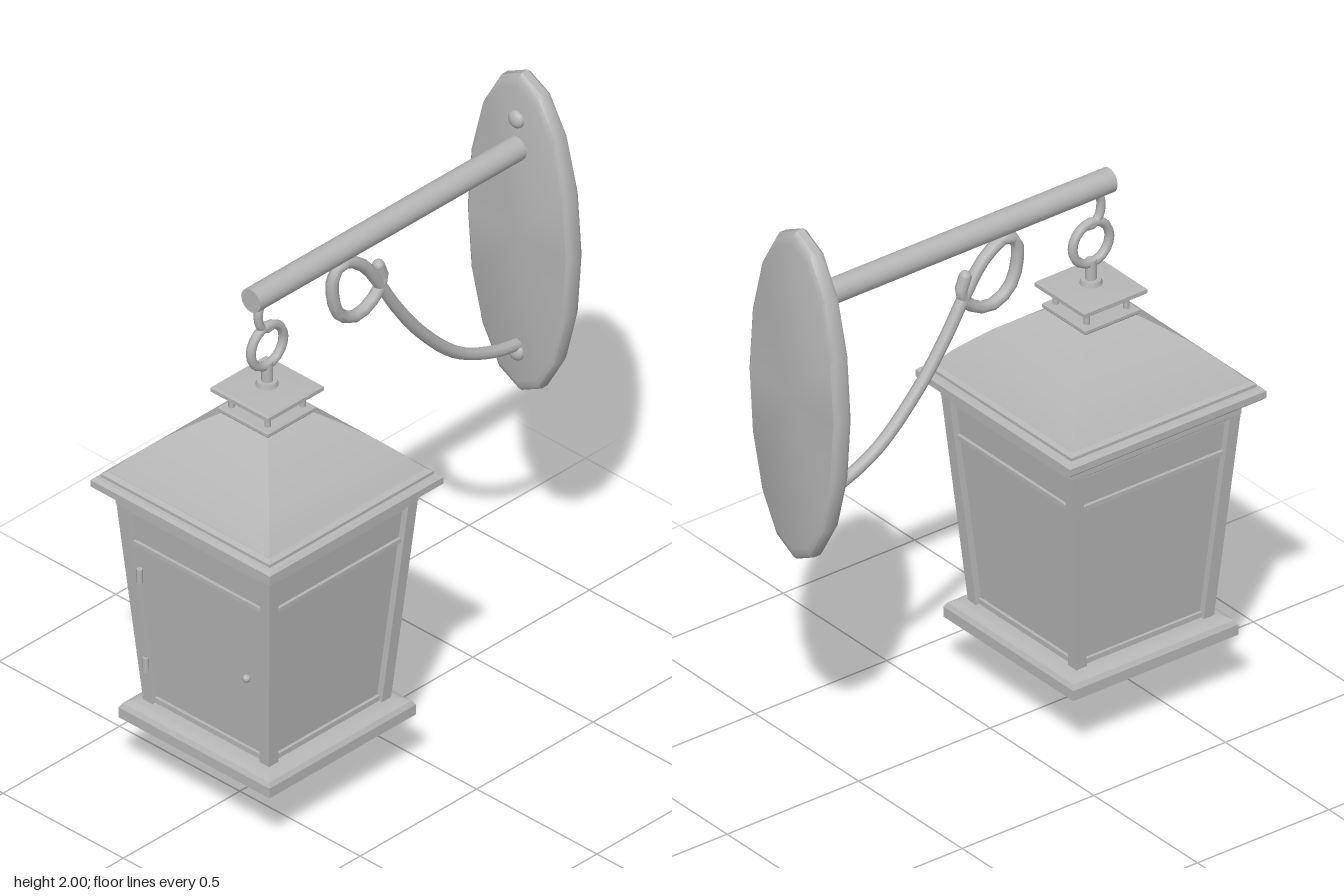
import * as THREE from 'three';
import { toCreasedNormals } from 'three/addons/utils/BufferGeometryUtils.js';

const CX = -0.383; // lantern axis

export function createModel() {
  const model = new THREE.Group();
  model.name = 'wallLantern';
  const metal = new THREE.MeshStandardMaterial({ color: 0xb6b6b6 });
  metal.name = 'grey metal';

  const add = (name, geometry, x = 0, y = 0, z = 0, parent = model) => {
    const mesh = new THREE.Mesh(geometry, metal);
    mesh.name = name;
    mesh.position.set(x, y, z);
    parent.add(mesh);
    return mesh;
  };

  // Square cross-sections [half width, height], listed from bottom to top
  const squareLoft = (rings) => {
    const pts = rings.map(([h, y]) => new THREE.Vector2(h * Math.SQRT2, y));
    pts.unshift(new THREE.Vector2(0, rings[0][1]));
    pts.push(new THREE.Vector2(0, rings[rings.length - 1][1]));
    return toCreasedNormals(new THREE.LatheGeometry(pts, 4).rotateY(Math.PI / 4), 0.45);
  };

  const tube = (points, radius, segments) => new THREE.TubeGeometry(
    new THREE.CatmullRomCurve3(points.map(([x, y]) => new THREE.Vector3(x, y, 0))),
    segments, radius, 8);

  const lantern = new THREE.Group();
  lantern.name = 'lantern';
  lantern.position.x = CX;
  model.add(lantern);
  const part = (name, geometry, x, y, z) => add(name, geometry, x, y, z, lantern);

  // Tapered body: half width of the outer frame at a given height
  const outer = (y) => 0.262 + (y - 0.28) * 0.08;

  part('base', squareLoft([
    [0.08, 0.112], [0.115, 0.12], [0.2, 0.158], [0.3, 0.207], [0.314, 0.215],
    [0.314, 0.25], [0.305, 0.265], [0.285, 0.275], [0.25, 0.28]]));
  part('panes', squareLoft([[outer(0.27) - 0.022, 0.27], [outer(0.99) - 0.022, 0.99]]));
  for (const [name, y, h] of [['sill', 0.287, 0.02], ['crossbar', 0.855, 0.014], ['topRail', 0.975, 0.016]]) {
    part(name, squareLoft([
      [outer(y) - 0.011, y - h / 2], [outer(y) - 0.011, y + h / 2]]));
  }

  // Leaning corner posts
  for (const sx of [-1, 1]) for (const sz of [-1, 1]) {
    const post = new THREE.BoxGeometry(0.04, 0.72, 0.04);
    const p = post.attributes.position;
    for (let i = 0; i < p.count; i++) {
      const y = p.getY(i) + 0.63;
      const c = outer(y) - 0.02;
      p.setXYZ(i, p.getX(i) + sx * c, y, p.getZ(i) + sz * c);
    }
    post.computeVertexNormals();
    part('cornerPost', post);
  }

  part('collar', squareLoft([
    [0.312, 0.978], [0.32, 0.985], [0.32, 1.012], [0.312, 1.02], [0.3, 1.022], [0.3, 1.045]]));
  part('eaves', squareLoft([
    [0.362, 1.035], [0.373, 1.045], [0.373, 1.068], [0.362, 1.078], [0.352, 1.08],
    [0.352, 1.09], [0.337, 1.098]]));
  part('roof', squareLoft([
    [0.337, 1.09], [0.298, 1.14], [0.252, 1.185], [0.205, 1.228],
    [0.152, 1.268], [0.12, 1.29], [0.095, 1.306], [0.06, 1.315]]));

  // Vent on top of the roof
  part('ventFloor', squareLoft([[0.1, 1.308], [0.104, 1.313], [0.104, 1.323], [0.1, 1.328]]));
  for (const sx of [-1, 1]) for (const sz of [-1, 1]) {
    part('ventPost', new THREE.CylinderGeometry(0.01, 0.01, 0.06, 8), sx * 0.075, 1.355, sz * 0.075);
  }
  part('ventCap', squareLoft([
    [0.114, 1.378], [0.12, 1.383], [0.12, 1.396], [0.114, 1.402], [0.07, 1.407]]));
  part('stemFoot', new THREE.CylinderGeometry(0.032, 0.036, 0.018, 12), 0, 1.414, 0);
  part('stem', new THREE.CylinderGeometry(0.018, 0.018, 0.08, 12), 0, 1.45, 0);
  part('ring', new THREE.TorusGeometry(0.07, 0.015, 8, 20), 0, 1.547, 0);
  part('finial', new THREE.SphereGeometry(0.044, 10, 7), 0, 0.044, 0);

  // Door hardware on the right side
  part('doorKnob', new THREE.SphereGeometry(0.013, 8, 6), -outer(0.585) - 0.009, 0.585, 0.2);
  for (const y of [0.42, 0.75]) {
    part('hinge', new THREE.CylinderGeometry(0.01, 0.01, 0.05, 8), -outer(y), y, -0.24);
  }

  // Wall plate: a faceted oval with bevelled rims
  const plate = new THREE.LatheGeometry([
    [0, 0], [0.93, 0], [0.98, 0.008], [1, 0.02], [1, 0.045], [0.98, 0.057], [0.93, 0.065], [0, 0.065],
  ].map(([r, y]) => new THREE.Vector2(r, y)), 16);
  plate.rotateZ(Math.PI / 2).scale(1, 0.57, 0.217);
  add('wallPlate', toCreasedNormals(plate, 0.6), 0.755, 1.43, 0);
  for (const y of [1.845, 1.01]) {
    const screw = add('screw', new THREE.SphereGeometry(0.03, 12, 8), 0.688, y, 0);
    screw.scale.x = 0.7;
  }

  // Arm, hook and scrolled brace
  add('arm', new THREE.CylinderGeometry(0.04, 0.04, 1.15, 16).rotateZ(Math.PI / 2), 0.122, 1.74, 0);
  add('hook', tube([
    [-0.4, 1.715], [-0.418, 1.69], [-0.42, 1.655], [-0.41, 1.625], [-0.385, 1.607], [-0.365, 1.61]], 0.014, 14));
  add('brace', tube([
    [0.7, 1.033], [0.59, 1.055], [0.43, 1.13], [0.27, 1.285], [0.167, 1.425], [0.1, 1.535],
    [0.024, 1.64], [-0.06, 1.686], [-0.098, 1.66], [-0.1, 1.575], [-0.07, 1.505],
    [0, 1.47], [0.07, 1.495], [0.112, 1.545], [0.095, 1.605]], 0.02, 36));
  // Closed ends of the open tubes
  add('braceTip', new THREE.SphereGeometry(0.02, 8, 6), 0.095, 1.605, 0);
  add('hookTip', new THREE.SphereGeometry(0.014, 8, 6), -0.365, 1.61, 0);

  return model;
}
